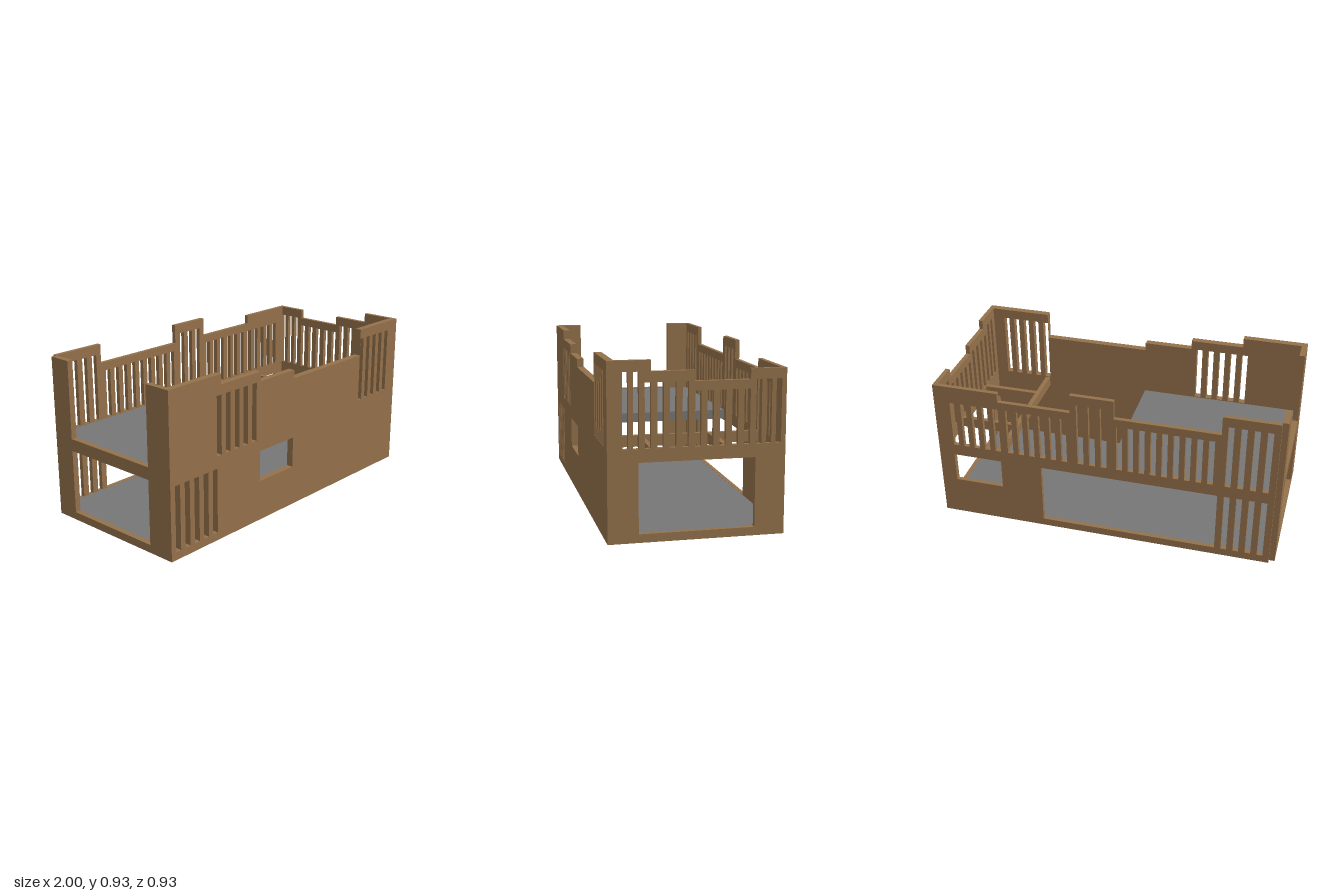
import * as THREE from 'three';

const wood = new THREE.MeshStandardMaterial({ color: 0x94714b });
wood.name = 'brownWood';
const grey = new THREE.MeshStandardMaterial({ color: 0x777777 });
grey.name = 'greyFloor';

// Heights shared by all walls: openings, then the stepped tops
const SILL = 0.045, LINTEL = 0.415, UPPER = 0.485;
const LOW = 0.818, MID = 0.873, HIGH = 0.93;

// Rectangular hole as [u0, u1, y0, y1]
const hole = (u0, u1, y0, y1) => [u0, u1, y0, y1];

// Row of evenly spaced upright slots
function slots(start, pitch, width, count, y0, y1) {
  return Array.from({ length: count }, (_, i) =>
    hole(start + i * pitch, start + i * pitch + width, y0, y1));
}

// Wall with a stepped top; steps are [end u, height], going along from u0
function wall(name, u0, steps, holes, depth) {
  const shape = new THREE.Shape();
  shape.moveTo(u0, 0);
  let u = u0;
  for (const [end, h] of steps) {
    shape.lineTo(u, h);
    shape.lineTo(end, h);
    u = end;
  }
  shape.lineTo(u, 0);
  shape.closePath();
  // Holes run opposite to the outline so that their sides face inwards
  for (const [a, b, c, d] of holes) {
    const path = new THREE.Path();
    path.moveTo(a, c);
    path.lineTo(b, c);
    path.lineTo(b, d);
    path.lineTo(a, d);
    path.closePath();
    shape.holes.push(path);
  }
  const mesh = new THREE.Mesh(
    new THREE.ExtrudeGeometry(shape, { depth, bevelEnabled: false }), wood);
  mesh.name = name;
  return mesh;
}

// Box given by its limits
function box(name, material, x0, x1, y0, y1, z0, z1) {
  const mesh = new THREE.Mesh(new THREE.BoxGeometry(x1 - x0, y1 - y0, z1 - z0), material);
  mesh.position.set((x0 + x1) / 2, (y0 + y1) / 2, (z0 + z1) / 2);
  mesh.name = name;
  return mesh;
}

export function createModel() {
  const model = new THREE.Group();
  model.name = 'twoStoreyEnclosure';

  // Front wall: small window and three groups of slots
  const front = wall('frontWall', -1,
    [[-0.622, HIGH], [-0.308, MID], [-0.02, LOW], [0.613, 0.77], [1, HIGH]],
    [
      hole(-0.308, -0.02, 0.235, LINTEL),
      ...slots(-0.967, 0.0695, 0.036, 5, SILL, LINTEL),
      ...slots(-0.655, 0.0695, 0.036, 5, UPPER, LOW),
      ...slots(0.614, 0.0645, 0.033, 5, UPPER, MID),
    ], 0.04);
  front.position.z = 0.425;

  // Back wall: wide doorway, window and a run of slots along the upper storey
  const back = wall('backWall', -0.967,
    [[-0.655, HIGH], [-0.06, LOW], [0.19, HIGH], [0.613, LOW], [1, MID]],
    [
      hole(-0.652, 0.376, SILL, LINTEL),
      hole(0.62, 0.91, 0.235, LINTEL),
      ...slots(-0.93, 0.0695, 0.033, 4, SILL, LINTEL),
      ...slots(-0.93, 0.0695, 0.033, 4, UPPER, MID),
      ...slots(-0.623, 0.0645, 0.033, 9, UPPER, 0.77),
      ...slots(-0.019, 0.068, 0.036, 3, UPPER, MID),
      ...slots(0.215, 0.0645, 0.033, 6, UPPER, 0.77),
      ...slots(0.614, 0.0645, 0.033, 5, UPPER, 0.77),
    ], 0.025);
  back.position.z = -0.465;

  // Side walls are drawn along -z and turned into place
  const doorway = hole(-0.305, 0.305, SILL, LINTEL);
  const left = wall('leftSideWall', -0.425,
    [[-0.242, HIGH], [-0.017, MID], [0.274, LOW], [0.44, MID]],
    [
      doorway,
      ...slots(-0.387, 0.055, 0.029, 2, UPPER, MID),
      ...slots(-0.273, 0.0643, 0.032, 4, UPPER, LOW),
      ...slots(-0.0155, 0.0643, 0.032, 5, UPPER, 0.77),
      ...slots(0.305, 0.053, 0.029, 3, UPPER, LOW),
    ], 0.025);
  left.rotation.y = Math.PI / 2;
  left.position.x = 0.975;

  // Opposite side: open upper storey between two corner posts
  const right = wall('rightSideWall', -0.425,
    [[-0.305, HIGH], [0.305, UPPER], [0.44, HIGH]], [doorway], 0.033);
  right.rotation.y = Math.PI / 2;
  right.position.x = -1;

  model.add(front, back, left, right);

  // Floors
  model.add(
    box('groundFloor', grey, -0.967, 0.975, 0.034, 0.044, -0.44, 0.425),
    box('upperFloor', grey, -0.967, -0.02, 0.425, 0.48, -0.44, 0.425));

  // Open joist frame at the upper floor level
  const frame = new THREE.Group();
  frame.name = 'joistFrame';
  frame.add(box('mainBeam', wood, 0.617, 0.644, 0.42, 0.48, -0.44, 0.425));
  for (const z of [-0.162, 0.224]) {
    frame.add(box('crossBeam', wood, 0.644, 0.975, 0.42, 0.48, z - 0.014, z + 0.014));
  }
  model.add(frame);

  return model;
}
